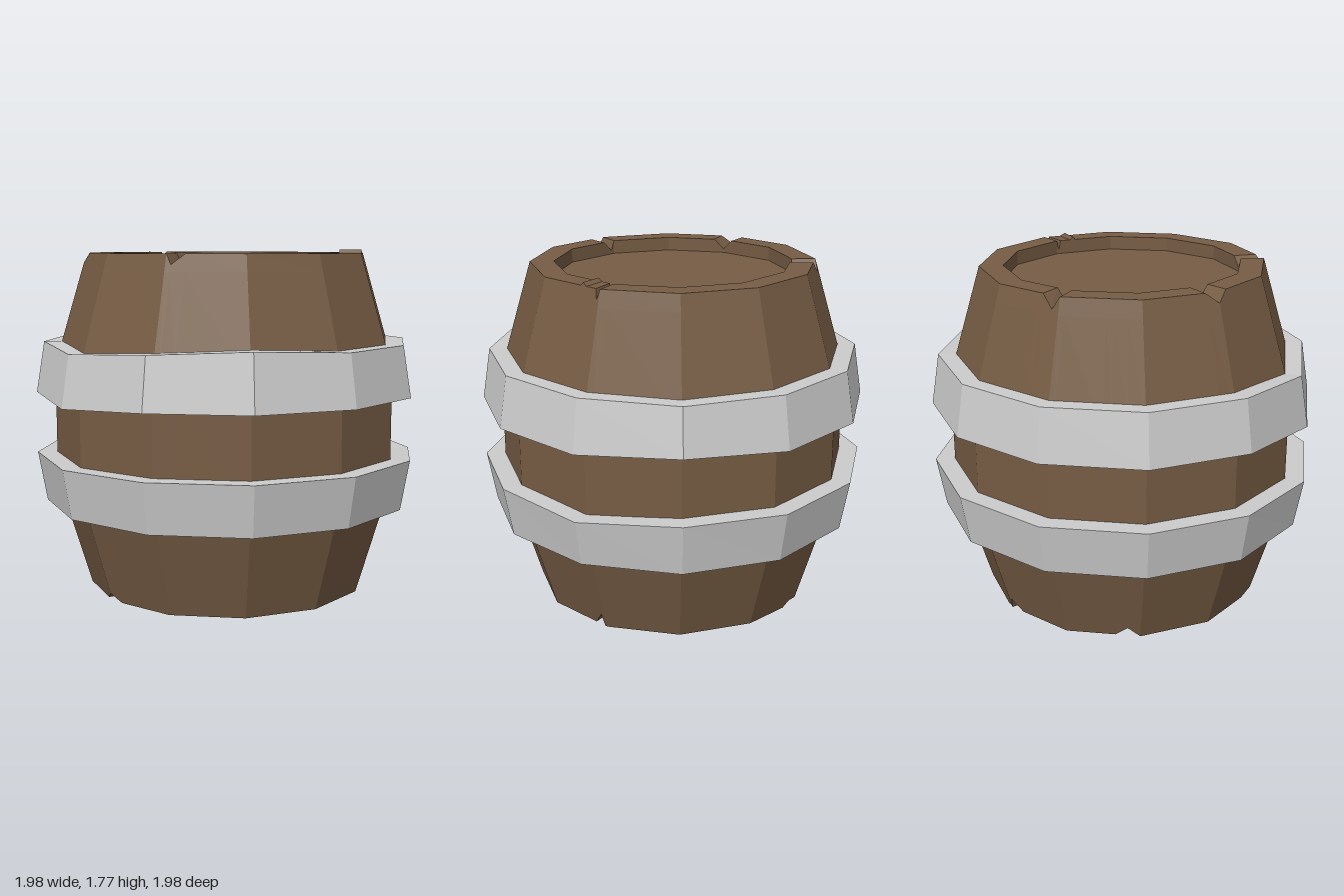
import * as THREE from 'three';

const SIDES = 12, STEP = 360 / SIDES, DEG = Math.PI / 180;

// Radius factor that keeps extra columns on the flat sides of the 12-gon
const flat = a => {
  const phi = ((a % STEP) + STEP) % STEP;
  return Math.cos(STEP / 2 * DEG) / Math.cos((phi - STEP / 2) * DEG);
};

// Skins a profile around the y axis; profileAt(angle) returns [radius, y] points
// running from the bottom, along the outside, to the top.
function skin(angles, profileAt, closed) {
  const cols = angles.map(a => profileAt(a).map(([r, y]) => new THREE.Vector3(
    r * flat(a) * Math.cos(a * DEG), y, r * flat(a) * Math.sin(a * DEG))));
  const pos = [];
  const tri = (p, q, s) => {
    if (p.distanceTo(q) < 1e-6 || q.distanceTo(s) < 1e-6 || s.distanceTo(p) < 1e-6) return;
    pos.push(...p.toArray(), ...q.toArray(), ...s.toArray());
  };
  cols.forEach((a, j) => {
    const b = cols[(j + 1) % cols.length], n = a.length;
    for (let i = 0; i < (closed ? n : n - 1); i++) {
      const k = (i + 1) % n;
      tri(a[i], a[k], b[k]);
      tri(a[i], b[k], b[i]);
    }
  });
  const geo = new THREE.BufferGeometry();
  geo.setAttribute('position', new THREE.Float32BufferAttribute(pos, 3));
  geo.computeVertexNormals();
  return geo;
}

// Chipped notches in the rims: [angle, depth, raised lip beside the notch]
const HALF = 5;
const topNotches = [[58, 0.05, 0], [120, 0.05, 0], [183, 0.06, 0], [301, 0.05, 0.015]];
const bottomNotches = [[90, 0.04, 0], [155, 0.05, 0], [209, 0.06, 0.03], [302, 0.07, 0]];

// Signed change of rim height at an angle: negative cuts in, positive sticks out
function rimChange(a, notches) {
  for (const [c, depth, lip] of notches) {
    if (a === c) return -depth;
    if (a === c + HALF + 3) return lip;
  }
  return 0;
}

function bodyGeometry() {
  const set = new Set();
  for (let i = 0; i < SIDES; i++) set.add(i * STEP);
  for (const [c] of [...topNotches, ...bottomNotches])
    [c - HALF, c, c + HALF, c + HALF + 3].forEach(a => set.add(a));
  const angles = [...set].sort((p, q) => p - q);
  return skin(angles, a => {
    const t = rimChange(a, topNotches), b = rimChange(a, bottomNotches);
    return [
      [0, 0.1], [0.6, 0.1], [0.6, 0.03 - b], [0.72 - 0.3 * b, 0.03 - b],
      [0.745, 0.113], [0.89, 0.6], [0.89, 1.19], [0.745, 1.677],
      [0.72 - 0.3 * t, 1.76 + t], [0.6, 1.76 + t], [0.6, 1.69], [0, 1.69],
    ];
  });
}

// Metal band with a sloping outer face; bends lists [top dy, bottom dy] by angle
function hoopGeometry(y0, r0, y1, r1, bends) {
  const angles = Array.from({ length: SIDES }, (_, i) => i * STEP);
  return skin(angles, a => {
    const [t, b] = bends[a] || [0, 0];
    return [[0.8, y0 + b], [r0, y0 + b], [r1, y1 + t], [0.8, y1 + t]];
  }, true);
}

export function createModel() {
  const group = new THREE.Group();
  group.name = 'barrel';
  const wood = new THREE.MeshStandardMaterial({ color: 0x765c44, flatShading: true });
  const metal = new THREE.MeshStandardMaterial({ color: 0xcccccc, flatShading: true });
  const add = (name, geo, mat) => {
    const mesh = new THREE.Mesh(geo, mat);
    mesh.name = name;
    mesh.position.z = -0.01;
    group.add(mesh);
  };

  add('barrelBody', bodyGeometry(), wood);
  add('upperHoop', hoopGeometry(1.05, 0.988, 1.31, 0.945,
    { 30: [0.02, 0], 90: [-0.025, -0.025], 270: [-0.005, 0.02] }), metal);
  add('lowerHoop', hoopGeometry(0.48, 0.945, 0.735, 0.99,
    { 90: [-0.005, 0], 300: [-0.02, 0], 270: [0.005, 0] }), metal);
  return group;
}
